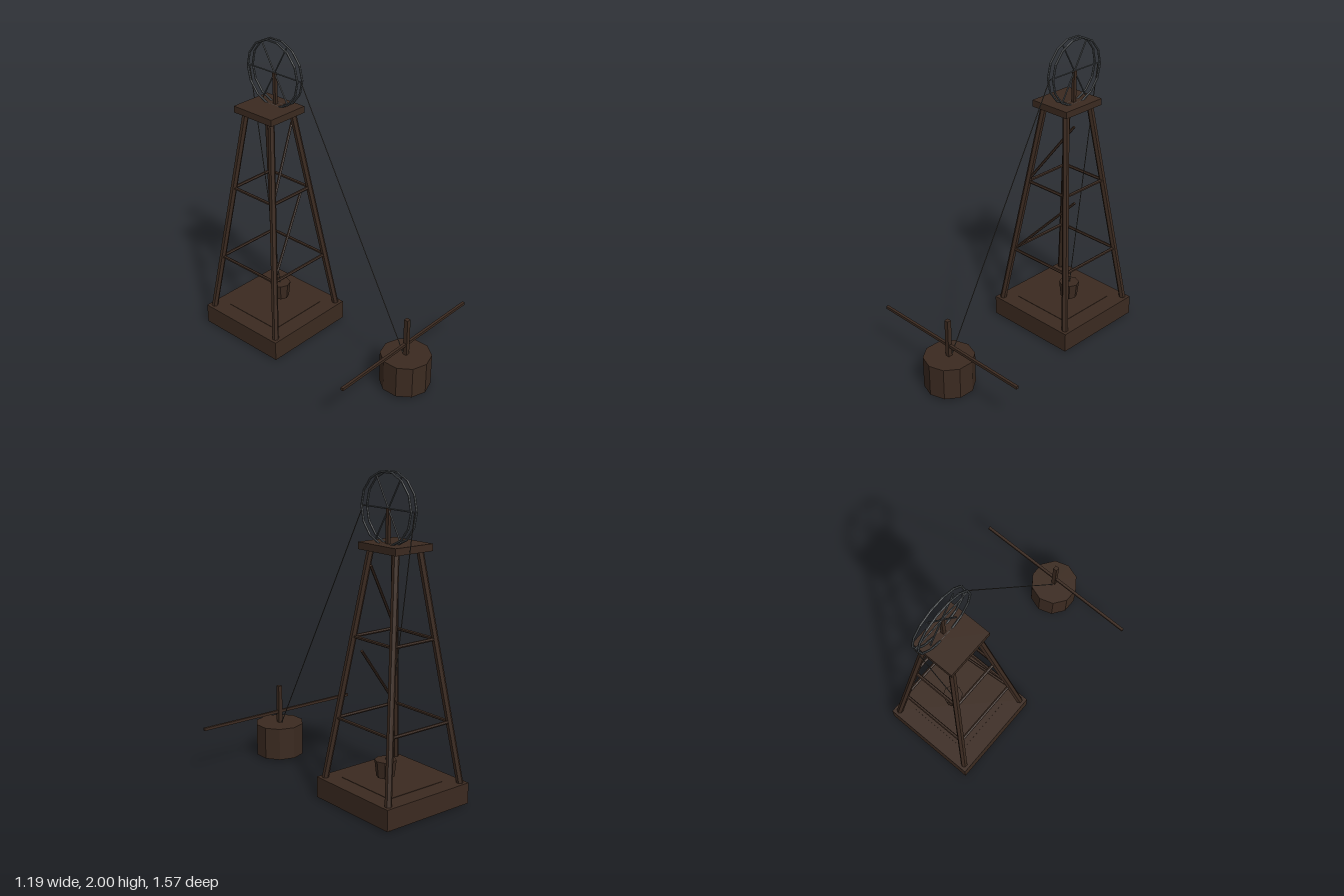
import * as THREE from 'three';

const mat = (name, color) => {
  const m = new THREE.MeshStandardMaterial({ color, flatShading: true });
  m.name = name;
  return m;
};

export function createModel() {
  const wood = mat('dark wood', 0x3b2a20);
  const iron = mat('iron', 0x474b4e);
  const rope = mat('rope', 0x4a4641);
  const root = new THREE.Group();
  const V = (x, y, z) => new THREE.Vector3(x, y, z);

  const add = (name, geometry, material, pos, parent = root) => {
    const m = new THREE.Mesh(geometry, material);
    m.name = name;
    m.position.copy(pos);
    parent.add(m);
    return m;
  };
  const box = (name, w, h, d, pos, parent) =>
    add(name, new THREE.BoxGeometry(w, h, d), wood, pos, parent);
  // Round bar running from a to b
  const bar = (name, a, b, r, material, parent, sides = 6) => {
    const dir = b.clone().sub(a);
    const m = add(name, new THREE.CylinderGeometry(r, r, dir.length(), sides),
      material, a.clone().lerp(b, 0.5), parent);
    m.quaternion.setFromUnitVectors(V(0, 1, 0), dir.normalize());
    return m;
  };

  // Tower
  const tower = new THREE.Group();
  tower.name = 'tower';
  root.add(tower);
  const cx = -0.055, cz = -0.458, topY = 1.55;
  box('base', 0.65, 0.132, 0.65, V(cx, 0.073, cz), tower);
  box('baseCover', 0.43, 0.02, 0.43, V(cx, 0.132, cz), tower);
  box('topPlatform', 0.287, 0.043, 0.322, V(cx, 1.566, cz), tower);

  // Point on a leg's centre line at height y
  const onLeg = (sx, sz, y) => {
    const t = y / topY;
    return V(cx + sx * THREE.MathUtils.lerp(0.306, 0.092, t), y,
      cz + sz * THREE.MathUtils.lerp(0.306, 0.108, t));
  };
  const corners = [[-1, 1], [1, 1], [1, -1], [-1, -1]];
  corners.forEach(([sx, sz], i) => {
    bar('leg', onLeg(sx, sz, 0.004), onLeg(sx, sz, topY), 0.0215, wood, tower);
    const [nx, nz] = corners[(i + 1) % 4];
    for (const y of [0.522, 1.027])
      bar('crossBeam', onLeg(sx, sz, y), onLeg(nx, nz, y), 0.0105, wood, tower);
  });

  // Diagonal braces
  bar('diagonalBrace', V(-0.275, 0.53, -0.228), V(0.112, 0.955, -0.365), 0.009, wood, tower);
  bar('diagonalBrace', V(-0.21, 1.045, -0.285), V(0.07, 1.46, -0.39), 0.009, wood, tower);

  // Pulley wheel: two rims, three full-width spokes and a post
  const wheel = new THREE.Group();
  wheel.name = 'pulleyWheel';
  wheel.position.set(0, 1.787, cz);
  root.add(wheel);
  for (const x of [-0.021, 0.021]) {
    const rim = add('wheelRim', new THREE.TorusGeometry(0.211, 0.007, 6, 14), iron, V(x, 0, 0), wheel);
    rim.rotation.y = Math.PI / 2;
  }
  for (let i = 0; i < 3; i++) {
    const a = i * Math.PI / 3;
    const end = V(0, Math.sin(a), Math.cos(a)).multiplyScalar(0.212);
    bar('wheelSpoke', end.clone().negate(), end, 0.005, iron, wheel);
  }
  box('wheelPost', 0.02, 0.21, 0.022, V(0, 1.684, cz));

  // Winch: drum, post and push pole
  const winch = new THREE.Group();
  winch.name = 'winch';
  winch.position.set(0, 0, 0.626);
  root.add(winch);
  add('winchDrum', new THREE.CylinderGeometry(0.161, 0.161, 0.214, 10), wood, V(0, 0.123, 0), winch);
  box('winchPost', 0.028, 0.26, 0.028, V(0, 0.355, 0), winch);
  box('pushPole', 1.19, 0.018, 0.018, V(0, 0.306, 0), winch);

  // Bucket
  add('bucket', new THREE.CylinderGeometry(0.067, 0.055, 0.106, 8), wood, V(0, 0.23, cz));

  // Ropes
  bar('winchRope', V(0, 1.787, -0.238), V(0, 0.225, 0.605), 0.003, rope, root);
  bar('bucketRope', V(0, 1.787, -0.674), V(0, 0.28, -0.462), 0.003, rope, root);

  return root;
}
